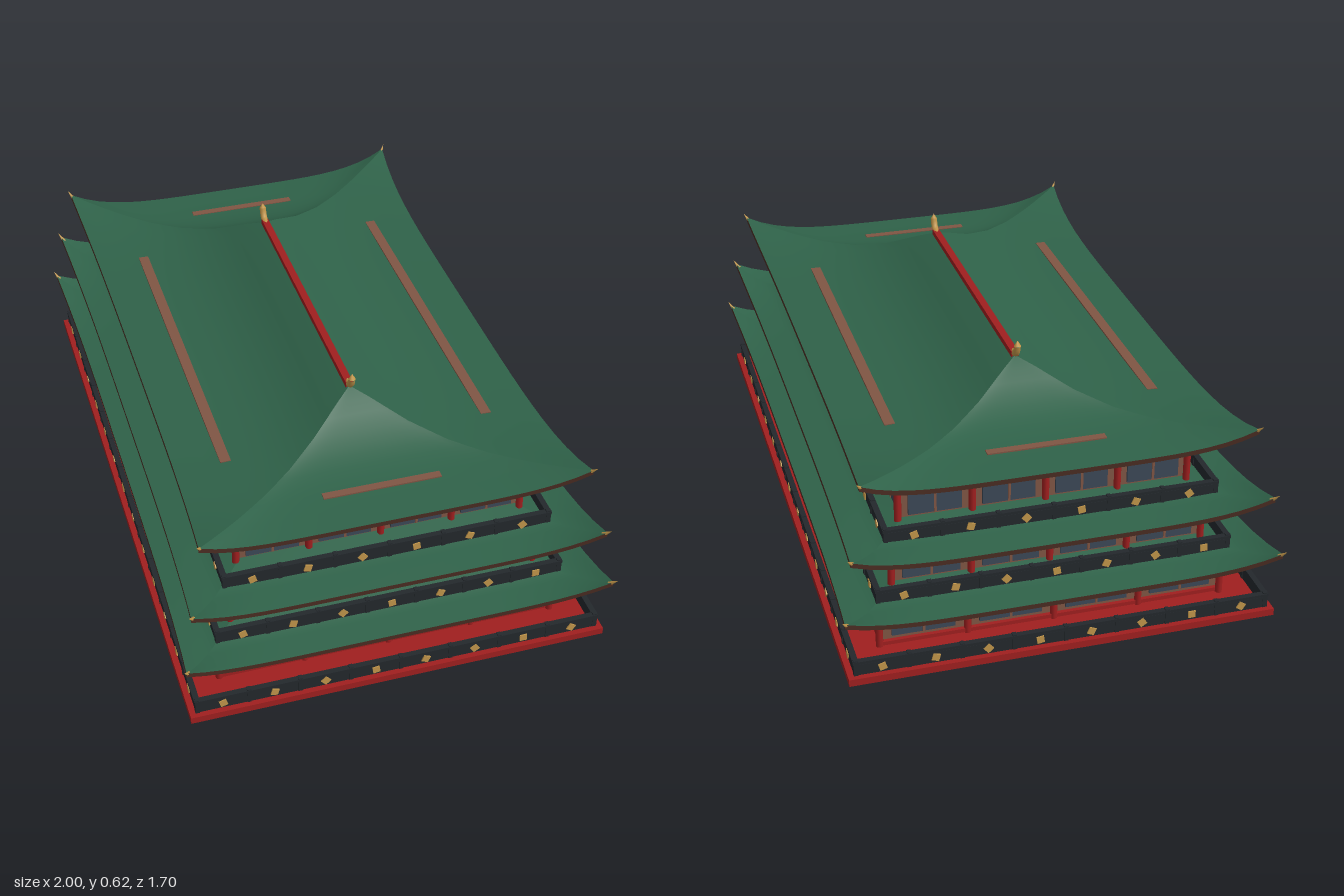
import * as THREE from 'three';

const mat = (color) => new THREE.MeshStandardMaterial({ color, side: THREE.FrontSide });
const M = {
  green: mat(0x2f6249), under: mat(0x4a2c22), red: mat(0xa01f1f), wall: mat(0x805644),
  pane: mat(0x3c4857), rail: mat(0x23282c), gold: mat(0xc2964a), base: mat(0x1a1816),
};

function mesh(parent, name, geo, material, x = 0, y = 0, z = 0) {
  const m = new THREE.Mesh(geo, material);
  m.name = name;
  m.position.set(x, y, z);
  parent.add(m);
  return m;
}

function box(parent, name, material, w, h, d, x, y, z) {
  return mesh(parent, name, new THREE.BoxGeometry(w, h, d), material, x, y, z);
}

// Four-sided surface: shape(s, t) gives half sizes and height, s along a side, t from eave inwards
function fourSided(shape, rows, flip = false) {
  const cols = 24, pos = [], idx = [];
  for (let k = 0; k < 4; k++) {
    const start = pos.length / 3;
    for (let j = 0; j <= rows; j++) {
      for (let i = 0; i <= cols; i++) {
        const s = (i / cols) * 2 - 1;
        const { hx, hz, y, bow } = shape(s, j / rows);
        if (k === 0) pos.push(s * hx, y, hz - bow);
        if (k === 1) pos.push(hx - bow, y, -s * hz);
        if (k === 2) pos.push(-s * hx, y, bow - hz);
        if (k === 3) pos.push(bow - hx, y, s * hz);
      }
    }
    for (let j = 0; j < rows; j++) {
      for (let i = 0; i < cols; i++) {
        const a = start + j * (cols + 1) + i, b = a + 1, c = b + cols + 1, d = c - 1;
        if (flip) idx.push(a, c, b, a, d, c);
        else idx.push(a, b, c, a, c, d);
      }
    }
  }
  const g = new THREE.BufferGeometry();
  g.setAttribute('position', new THREE.Float32BufferAttribute(pos, 3));
  g.setIndex(idx);
  g.computeVertexNormals();
  return g;
}

// Piecewise-linear height from [t, y] points
function heightAt(profile, t) {
  for (let i = 1; i < profile.length; i++) {
    const [t0, y0] = profile[i - 1], [t1, y1] = profile[i];
    if (t <= t1) return y0 + ((y1 - y0) * (t - t0)) / (t1 - t0);
  }
  return profile[profile.length - 1][1];
}

// Roof with upturned corners: tiled top, dark underside and fascia along the eave
function addRoof(parent, name, [ox, oz], [ix, iz], profile, lift) {
  const group = new THREE.Group();
  group.name = name;
  parent.add(group);
  const thick = 0.012;
  const shape = (drop) => (s, t) => ({
    hx: ox + (ix - ox) * t,
    hz: oz + (iz - oz) * t,
    y: heightAt(profile, t) + lift * Math.pow(Math.abs(s), 5) * Math.pow(1 - t, 3) - drop,
    bow: 0.02 * (1 - s ** 4) * (1 - t),
  });
  const top = shape(0), low = shape(thick);
  mesh(group, 'roofTiles', fourSided(top, 12), M.green);
  mesh(group, 'roofUnderside', fourSided(low, 12, true), M.under);
  mesh(group, 'eaveFascia', fourSided((s, t) => {
    const p = low(s, 0);
    p.y += thick * t;
    return p;
  }, 1), M.under);
  // Small pointed corner tips
  for (const sx of [-1, 1]) for (const sz of [-1, 1]) {
    const tip = mesh(group, 'cornerTip', new THREE.ConeGeometry(0.006, 0.03, 6), M.gold,
      sx * ox, profile[0][1] + lift, sz * oz);
    tip.rotation.set(sz * 0.6, 0, -sx * 0.6);
  }
}

// Calls place(group) for each side, with local +z facing outwards
function eachSide(parent, hx, hz, place) {
  for (let k = 0; k < 4; k++) {
    const side = new THREE.Group();
    side.name = ['frontSide', 'leftSide', 'backSide', 'rightSide'][k];
    side.rotation.y = (k * Math.PI) / 2;
    parent.add(side);
    if (k % 2) place(side, hz, hx, k);
    else place(side, hx, hz, k);
  }
}

// One storey: walls, columns, windows and beams
function addStorey(parent, name, hx, hz, y0, y1) {
  const g = new THREE.Group();
  g.name = name;
  parent.add(g);
  const h = y1 - y0, mid = (y0 + y1) / 2;
  box(g, 'walls', M.wall, hx * 2 - 0.02, h, hz * 2 - 0.02, 0, mid, 0);
  eachSide(g, hx, hz, (side, half, out, k) => {
    const bays = k % 2 ? 4 : 7, step = (half * 2) / bays;
    for (let i = 0; i < bays; i++) {
      const x = -half + step * (i + 0.5);
      mesh(side, 'column', new THREE.CylinderGeometry(0.009, 0.009, h, 8), M.red, x - step / 2, mid, out - 0.005);
      box(side, 'windowPane', M.pane, step * 0.72, h * 0.62, 0.008, x, mid, out - 0.008);
      box(side, 'windowMullion', M.wall, 0.006, h * 0.62, 0.01, x, mid, out - 0.007);
    }
    box(side, 'topBeam', M.red, half * 2 + 0.02, 0.014, 0.016, 0, y1 - 0.007, out - 0.004);
    box(side, 'sillBeam', M.red, half * 2, 0.01, 0.012, 0, y0 + 0.008, out - 0.006);
  });
  return g;
}

// Balcony railing with gilded studs
function addRailing(parent, name, hx, hz, y0, h) {
  const g = new THREE.Group();
  g.name = name;
  parent.add(g);
  eachSide(g, hx, hz, (side, half, out) => {
    box(side, 'railPanel', M.rail, half * 2, h * 0.75, 0.008, 0, y0 + h * 0.375, out);
    box(side, 'handrail', M.rail, half * 2 + 0.012, h * 0.18, 0.014, 0, y0 + h * 0.91, out);
    const n = Math.round((half * 2) / 0.125);
    for (let i = 0; i < n; i++) {
      const x = -half + (2 * half * (i + 0.5)) / n;
      box(side, 'gildedStud', M.gold, 0.018, 0.018, 0.006, x, y0 + h * 0.4, out + 0.004).rotation.z = 0.3 + i;
      box(side, 'railPost', M.rail, 0.01, h * 1.08, 0.012, x - half / n, y0 + h * 0.54, out);
    }
  });
}

export function createModel() {
  const model = new THREE.Group();
  const hall = new THREE.Group();
  hall.name = 'hall';
  hall.rotation.y = -0.445;
  model.add(hall);

  // Plinth and platform
  const plinth = mesh(hall, 'plinth', new THREE.BoxGeometry(1.62, 0.024, 1.0), M.base, 0, 0.012, 0);
  const p = plinth.geometry.attributes.position;
  for (let i = 0; i < p.count; i++) if (p.getY(i) < 0) p.setXYZ(i, p.getX(i) * 0.97, p.getY(i), p.getZ(i) * 0.96);
  plinth.geometry.computeVertexNormals();
  box(hall, 'platform', M.red, 1.676, 0.018, 1.044, 0, 0.032, 0);
  box(hall, 'platformBottom', M.base, 1.66, 0.004, 1.03, 0, 0.022, 0);

  // Storeys
  const ground = addStorey(hall, 'groundStorey', 0.733, 0.426, 0.04, 0.165);
  addStorey(hall, 'middleStorey', 0.692, 0.385, 0.165, 0.305);
  addStorey(hall, 'upperStorey', 0.65, 0.357, 0.305, 0.462);

  // Railings
  addRailing(hall, 'platformRailing', 0.82, 0.503, 0.041, 0.038);
  addRailing(hall, 'middleRailing', 0.74, 0.43, 0.17, 0.038);
  addRailing(hall, 'upperRailing', 0.71, 0.402, 0.31, 0.038);

  // Roofs
  addRoof(hall, 'lowerRoof', [0.846, 0.528], [0.68, 0.375], [[0, 0.16], [0.5, 0.167], [1, 0.185]], 0.042);
  addRoof(hall, 'middleRoof', [0.823, 0.506], [0.64, 0.347], [[0, 0.302], [0.5, 0.309], [1, 0.328]], 0.046);
  addRoof(hall, 'topRoof', [0.779, 0.472], [0.385, 0],
    [[0, 0.465], [0.25, 0.469], [0.42, 0.474], [0.58, 0.487], [0.75, 0.515], [0.92, 0.558], [1, 0.575]], 0.048);

  // Long and short strips lying on the top roof
  for (const s of [-1, 1]) {
    box(hall, 'longRoofStrip', M.wall, 0.92, 0.012, 0.026, 0, 0.4685, s * 0.33);
    box(hall, 'shortRoofStrip', M.wall, 0.02, 0.012, 0.29, s * 0.644, 0.4675, 0);
  }

  // Ridge beam with horned finials
  box(hall, 'ridge', M.red, 0.77, 0.016, 0.018, 0, 0.577, 0);
  for (const s of [-1, 1]) {
    const horn = new THREE.CatmullRomCurve3([
      new THREE.Vector3(s * 0.365, 0.575, 0), new THREE.Vector3(s * 0.392, 0.585, 0),
      new THREE.Vector3(s * 0.402, 0.6, 0), new THREE.Vector3(s * 0.405, 0.61, 0)]);
    mesh(hall, 'ridgeFinial', new THREE.TubeGeometry(horn, 8, 0.009, 8), M.gold);
    mesh(hall, 'finialTip', new THREE.ConeGeometry(0.009, 0.015, 8), M.gold, s * 0.405, 0.6165, 0);
  }

  // Gilded doorway at the back
  box(ground, 'door', M.rail, 0.12, 0.11, 0.012, 0, 0.096, -0.428);
  for (const s of [-1, 1]) {
    for (const x of [0.03, 0.055])
      mesh(ground, 'doorPost', new THREE.CylinderGeometry(0.007, 0.007, 0.12, 8), M.gold, s * x, 0.1, -0.437);
  }
  return model;
}
